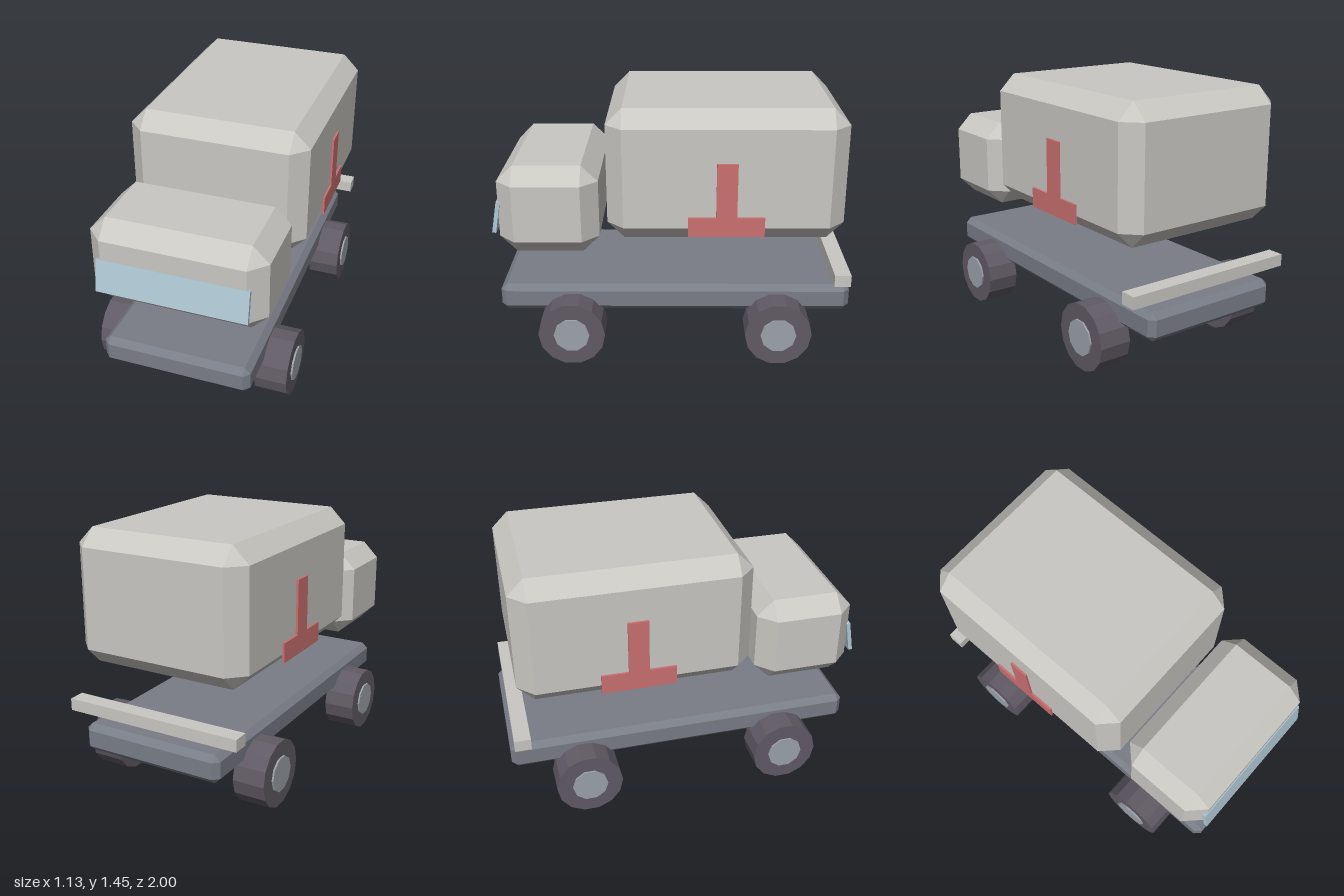
import * as THREE from 'three';
import { ConvexGeometry } from 'three/addons/geometries/ConvexGeometry.js';

const material = (name, color) => {
  const m = new THREE.MeshStandardMaterial({ color });
  m.name = name;
  return m;
};

// Box with every edge cut at 45 degrees; sizes are half extents
function chamferedBox(hx, hy, hz, c) {
  const points = [];
  for (const x of [-1, 1]) for (const y of [-1, 1]) for (const z of [-1, 1]) {
    points.push(
      new THREE.Vector3(x * hx, y * (hy - c), z * (hz - c)),
      new THREE.Vector3(x * (hx - c), y * hy, z * (hz - c)),
      new THREE.Vector3(x * (hx - c), y * (hy - c), z * hz));
  }
  return new ConvexGeometry(points);
}

export function createModel() {
  const model = new THREE.Group();
  model.name = 'ambulance';

  const body = material('body grey', 0xcac8c3);
  const steel = material('chassis slate', 0x797d87);
  const rubber = material('tyre charcoal', 0x605a64);
  const metal = material('hub grey', 0x9ca2aa);
  const glass = material('windscreen blue', 0xb0c9d4);
  const red = material('marking red', 0xcb7070);

  function add(name, geometry, mat, x, y, z, parent = model) {
    const mesh = new THREE.Mesh(geometry, mat);
    mesh.name = name;
    mesh.position.set(x, y, z);
    parent.add(mesh);
    return mesh;
  }

  // Main bodies
  add('chassis', chamferedBox(0.415, 0.079, 0.99, 0.033), steel, 0, 0.337, -0.006);
  add('cargoBox', chamferedBox(0.507, 0.366, 0.646, 0.091), body, 0, 1.089, -0.281);
  add('cab', chamferedBox(0.483, 0.251, 0.276, 0.091), body, 0, 0.879, 0.688);
  add('rearBumper', new THREE.BoxGeometry(1.027, 0.067, 0.091), body, 0, 0.499, -0.93);

  // Windscreen slab leaning back
  const windscreen = add('windscreen', new THREE.BoxGeometry(0.827, 0.182, 0.022), glass, 0, 0.835, 0.975);
  windscreen.rotation.x = -0.177;

  // Wheels lie along x
  const tyre = new THREE.CylinderGeometry(0.187, 0.187, 0.183, 14).toNonIndexed().rotateZ(Math.PI / 2);
  const hub = new THREE.CylinderGeometry(0.1, 0.1, 0.203, 10).toNonIndexed().rotateZ(Math.PI / 2);
  tyre.computeVertexNormals();
  hub.computeVertexNormals();

  // Side marking: upright bar on a wide foot
  const upright = new THREE.BoxGeometry(0.014, 0.303, 0.112);
  const foot = new THREE.BoxGeometry(0.014, 0.109, 0.412);

  for (const [side, s] of [['left', 1], ['right', -1]]) {
    for (const [end, z] of [['Front', 0.573], ['Rear', -0.584]]) {
      const wheel = new THREE.Group();
      wheel.name = side + end + 'Wheel';
      wheel.position.set(s * 0.463, 0.183, z);
      add('tyre', tyre, rubber, 0, 0, 0, wheel);
      add('hub', hub, metal, 0, 0, 0, wheel);
      model.add(wheel);
    }
    const marking = new THREE.Group();
    marking.name = side + 'Marking';
    marking.position.set(s * 0.512, 0, -0.281);
    add('upright', upright, red, 0, 1.0285, 0, marking);
    add('foot', foot, red, 0, 0.8225, 0, marking);
    model.add(marking);
  }
  return model;
}
